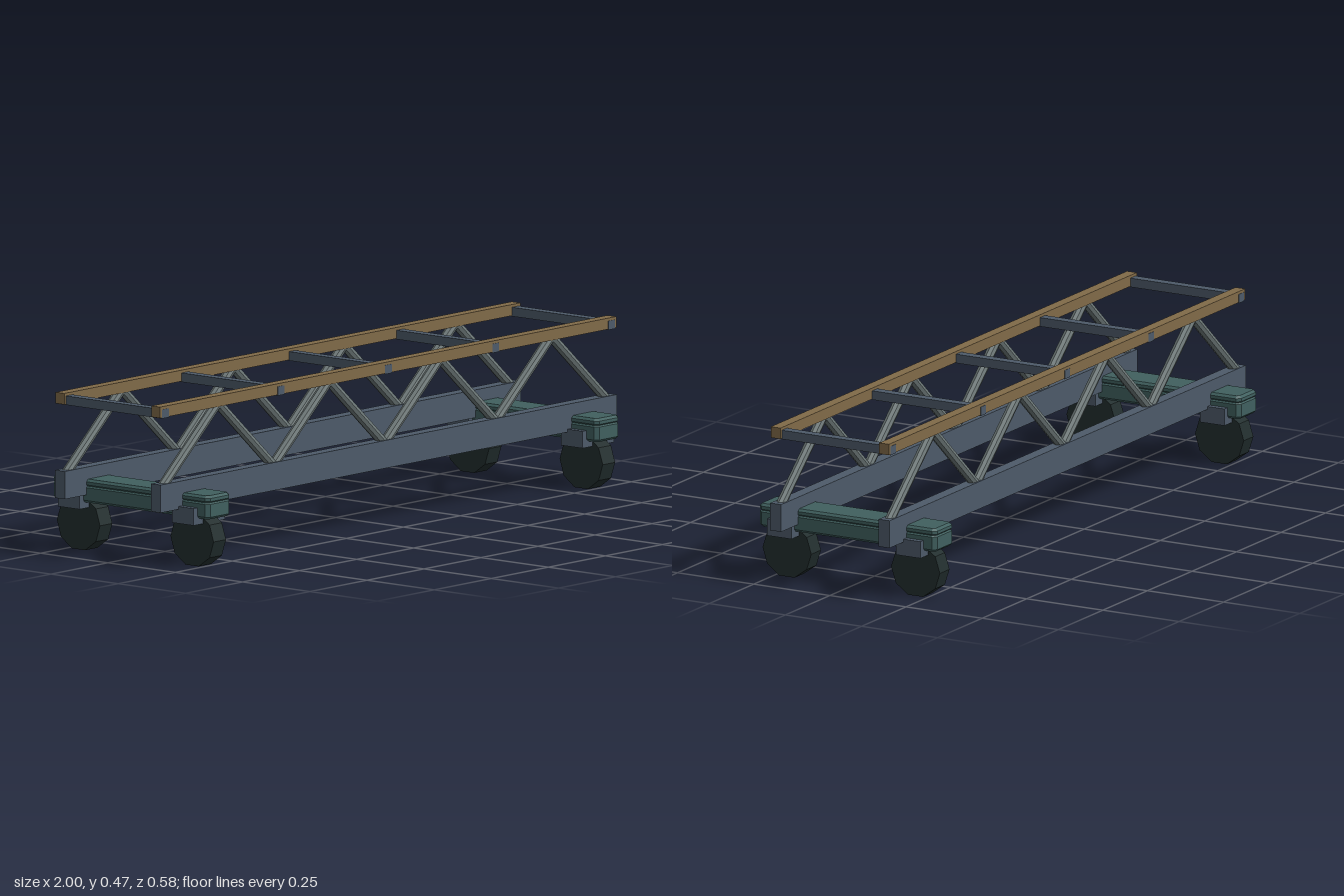
import * as THREE from 'three';

const paint = (name, color) => {
  const m = new THREE.MeshStandardMaterial({ color });
  m.name = name;
  return m;
};

// Block standing on y = 0 with cut corners and bevelled top and bottom edges
function chamferedBlock(w, h, d, c) {
  const x = w / 2 - c, z = d / 2 - c;
  const k = c;
  const outline = new THREE.Shape([
    [x - k, -z], [x, -z + k], [x, z - k], [x - k, z],
    [-x + k, z], [-x, z - k], [-x, -z + k], [-x + k, -z],
  ].map(([a, b]) => new THREE.Vector2(a, b)));
  const g = new THREE.ExtrudeGeometry(outline, {
    depth: h - 2 * c, bevelEnabled: true, bevelSegments: 1, bevelSize: c, bevelThickness: c,
  });
  g.translate(0, 0, c);
  g.rotateX(-Math.PI / 2);
  return g;
}

export function createModel() {
  const group = new THREE.Group();
  group.name = 'trussCart';

  const brown = paint('brownRail', 0x806a48);
  const steel = paint('blueSteel', 0x4d5a69);
  const grey = paint('greyStrut', 0x6b7676);
  const teal = paint('tealAxle', 0x40605f);
  const rubber = paint('darkRubber', 0x222e2e);
  for (const m of [grey, rubber]) m.flatShading = true;

  const add = (name, geometry, material, x, y, z) => {
    const mesh = new THREE.Mesh(geometry, material);
    mesh.name = name;
    mesh.position.set(x, y, z);
    group.add(mesh);
    return mesh;
  };

  const sideZ = 0.178;
  const up = new THREE.Vector3(0, 1, 0);

  // Side frames: lower beam, upper rail and zigzag struts
  for (const s of [1, -1]) {
    add('lowerBeam', new THREE.BoxGeometry(2, 0.08, 0.036), steel, 0, 0.205, s * sideZ);
    add('upperRail', new THREE.BoxGeometry(2, 0.032, 0.032), brown, 0, 0.453, s * sideZ);

    for (let i = 0; i < 8; i++) {
      const node = (n) => new THREE.Vector3(-0.975 + n * 0.24375, n % 2 ? 0.445 : 0.233, s * sideZ);
      const a = node(i), b = node(i + 1);
      const dir = b.clone().sub(a);
      const mid = a.clone().add(b).multiplyScalar(0.5);
      const strut = add('strut', new THREE.CylinderGeometry(0.0145, 0.0145, dir.length(), 8), grey, mid.x, mid.y, mid.z);
      strut.quaternion.setFromUnitVectors(up, dir.normalize());
    }
  }

  // Rungs joining the upper rails, ends just proud of them
  for (const x of [-0.978, -0.471, 0, 0.471, 0.978]) {
    add('rung', new THREE.BoxGeometry(0.029, 0.026, 0.39), steel, x, 0.448, 0);
  }

  // Axle beams with caps, brackets and ten-sided wheels
  for (const x of [-0.853, 0.853]) {
    add('axleBeam', chamferedBlock(0.104, 0.051, 0.582, 0.007), teal, x, 0.142, 0);
    add('axleCap', chamferedBlock(0.104, 0.023, 0.582, 0.007), teal, x, 0.187, 0);
    for (const s of [1, -1]) {
      add('wheelBracket', new THREE.BoxGeometry(0.138, 0.049, 0.08), steel, x, 0.149, s * 0.212);
      const wheel = new THREE.CylinderGeometry(0.08, 0.08, 0.054, 10);
      wheel.rotateZ(Math.PI / 2);
      add('wheel', wheel, rubber, x, 0.0761, s * 0.211);
    }
  }

  return group;
}
